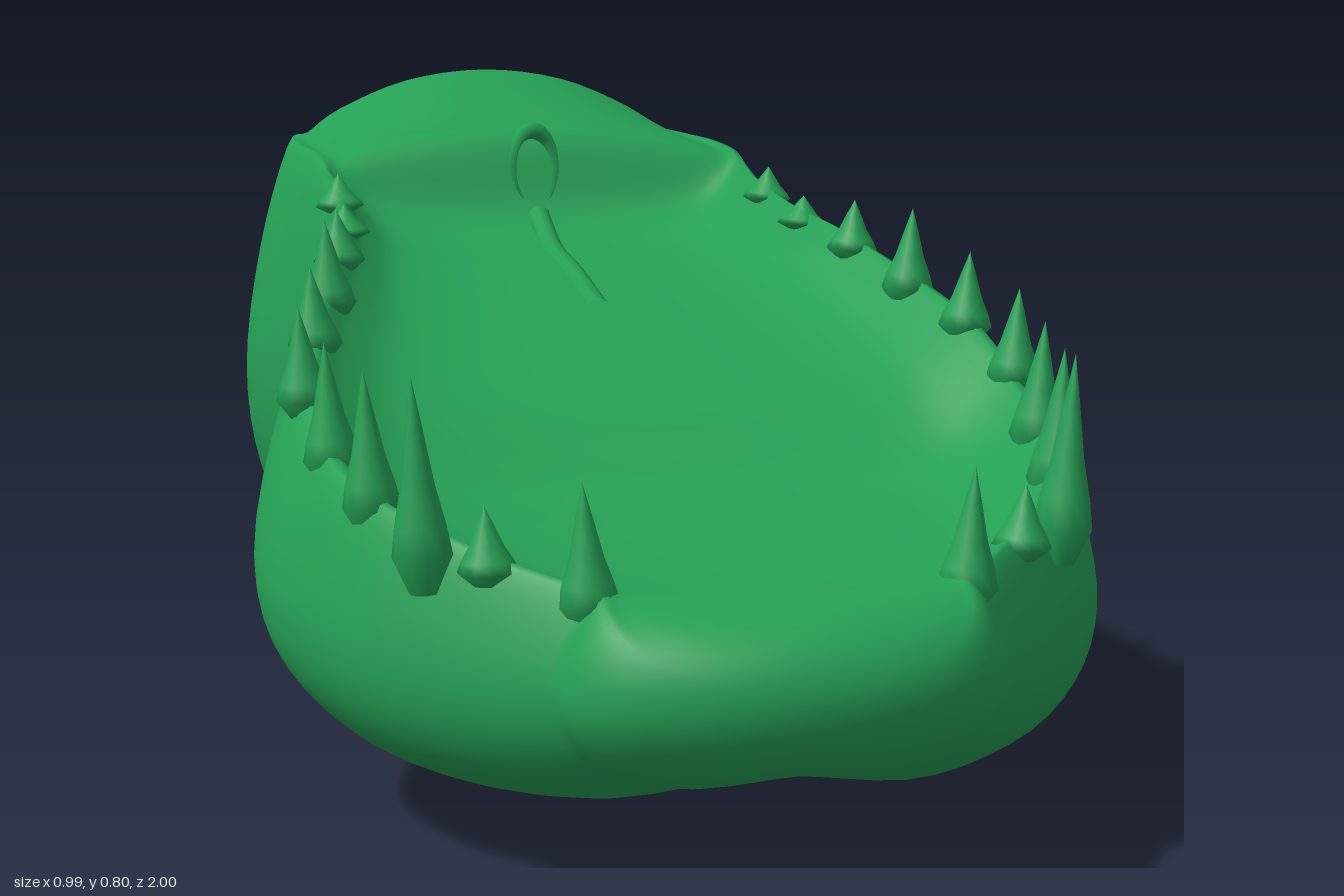
import * as THREE from 'three';

const material = new THREE.MeshStandardMaterial({ color: 0x25a055, roughness: 0.8, side: THREE.DoubleSide });
const mix = THREE.MathUtils.lerp;

// Cross-sections from back to front:
// z, half width, bottom at centre, bottom at sides, rim x, rim y, floor y at centre
const stations = [
  [-0.77, 0.355, 0.00, 0.04, 0.30, 0.69, 0.80],
  [-0.66, 0.38, 0.005, 0.045, 0.315, 0.69, 0.755],
  [-0.55, 0.383, 0.025, 0.06, 0.315, 0.69, 0.73],
  [-0.43, 0.36, 0.055, 0.085, 0.31, 0.685, 0.725],
  [-0.37, 0.352, 0.06, 0.09, 0.305, 0.675, 0.62],
  [-0.28, 0.35, 0.062, 0.09, 0.30, 0.66, 0.58],
  [-0.15, 0.365, 0.07, 0.09, 0.315, 0.635, 0.56],
  [0.00, 0.395, 0.10, 0.11, 0.345, 0.61, 0.53],
  [0.27, 0.473, 0.12, 0.10, 0.41, 0.535, 0.45],
  [0.42, 0.495, 0.105, 0.08, 0.43, 0.46, 0.365],
  [0.55, 0.47, 0.09, 0.07, 0.42, 0.42, 0.345],
  [0.67, 0.42, 0.085, 0.075, 0.375, 0.39, 0.335],
  [0.78, 0.33, 0.11, 0.095, 0.285, 0.355, 0.33],
  [0.87, 0.245, 0.145, 0.13, 0.20, 0.335, 0.33],
];

// Smooth interpolation of the station values, u in 0..1
function stationAt(u) {
  const f = u * (stations.length - 1);
  const i = Math.min(Math.floor(f), stations.length - 2);
  const t = f - i;
  const at = (k) => stations[THREE.MathUtils.clamp(k, 0, stations.length - 1)];
  return stations[0].map((_, n) => {
    const [a, b, c, d] = [i - 1, i, i + 1, i + 2].map((k) => at(k)[n]);
    return b + 0.5 * t * (c - a + t * (2 * a - 5 * b + 4 * c - d + t * (3 * (b - c) + d - a)));
  });
}

// Closed outline of the jaw at one station: belly, flank, rim, then a hollow floor or a domed top
function outline([z, w, yc, yb, xr, yr, yf], cols) {
  const yw = mix(yb, yr, 0.51);
  const dome = THREE.MathUtils.smoothstep(yf - yr, -0.04, 0.06);
  const half = [
    [0, yc], [0.5 * w, yb], [0.8 * w, mix(yb, yw, 0.2)], [0.95 * w, mix(yb, yw, 0.55)], [w, yw],
    [mix(w, xr, 0.35), mix(yw, yr, 0.55)], [xr, yr], [0.9 * xr, mix(yr, yf, mix(0.35, 0.17, dome))],
    [0.74 * xr, mix(yr, yf, mix(0.8, 0.48, dome))], [0.4 * xr, mix(yr, yf, mix(0.97, 0.86, dome))], [0, yf],
  ];
  const mirrored = half.slice(1, -1).reverse().map(([x, y]) => [-x, y]);
  const points = [...half, ...mirrored].map(([x, y]) => new THREE.Vector3(x, y, z));
  const curve = new THREE.CatmullRomCurve3(points, true, 'catmullrom', 0.5);
  return Array.from({ length: cols }, (_, j) => curve.getPoint(j / cols));
}

// Rounded end: the outline turns into an ellipse while shrinking to a pole
function capRings(ring, poleY, poleZ, power, count) {
  const { min, max } = new THREE.Box3().setFromPoints(ring);
  return Array.from({ length: count }, (_, i) => {
    const angle = ((i + 1) / count) * Math.PI / 2;
    const scale = Math.cos(angle) ** power;
    const blend = Math.sin(angle);
    return ring.map((p, j) => {
      const phi = (j / ring.length) * Math.PI * 2;
      const x = mix(p.x, max.x * Math.sin(phi), blend);
      const y = mix(p.y, mix(min.y, max.y, 0.5 - 0.5 * Math.cos(phi)), blend);
      return new THREE.Vector3(x * scale, mix(poleY, y, scale), mix(p.z, poleZ, blend));
    });
  });
}

function jawGeometry(rows = 104, cols = 80) {
  const body = Array.from({ length: rows + 1 }, (_, i) => outline(stationAt(i / rows), cols));
  const rings = [
    ...capRings(body[0], 0.31, -1, 1.15, 24).reverse(),
    ...body,
    ...capRings(body[rows], 0.24, 1, 0.95, 20),
  ];
  const index = [];
  for (let i = 0; i < rings.length - 1; i++) {
    for (let j = 0; j < cols; j++) {
      const a = i * cols + j, b = i * cols + ((j + 1) % cols);
      index.push(a, b, b + cols, a, b + cols, a + cols);
    }
  }
  const geometry = new THREE.BufferGeometry().setFromPoints(rings.flat());
  geometry.setIndex(index);
  geometry.computeVertexNormals();
  return geometry;
}

const lathe = (profile, sides) =>
  new THREE.LatheGeometry(profile.map(([r, y]) => new THREE.Vector2(r, y)), sides);

// Pointed tooth whose base narrows again inside the gum
function toothGeometry(height, radius) {
  const profile = [[0.5, -0.3], [1, -0.08], [0.85, 0.1], [0.55, 0.35], [0.28, 0.68], [0, 1]];
  return lathe(profile.map(([r, y]) => [r * radius, y * height]), 10);
}

// x, z, base y, tip y
const teeth = [
  [0.205, 0.85, 0.33, 0.45], [0.295, 0.77, 0.35, 0.415], [0.358, 0.73, 0.37, 0.55],
  [0.393, 0.615, 0.40, 0.54], [0.418, 0.49, 0.43, 0.555], [0.432, 0.37, 0.48, 0.58],
  [0.405, 0.27, 0.53, 0.615], [0.37, 0.15, 0.565, 0.66], [0.338, 0.015, 0.60, 0.66],
  [0.31, -0.12, 0.62, 0.655], [0.298, -0.25, 0.645, 0.685],
];

export function createModel() {
  const group = new THREE.Group();
  group.name = 'lowerJaw';
  const add = (name, geometry, parent = group) => {
    const mesh = new THREE.Mesh(geometry, material);
    mesh.name = name;
    parent.add(mesh);
    return mesh;
  };

  add('jawBody', jawGeometry());

  // Teeth along both rims, leaning slightly outwards
  for (const side of [1, -1]) {
    const row = new THREE.Group();
    row.name = side > 0 ? 'leftTeeth' : 'rightTeeth';
    for (const [x, z, base, tip] of teeth) {
      const tooth = add('tooth', toothGeometry(tip - base, 0.033), row);
      tooth.position.set(side * x, base, z);
      tooth.rotation.z = -side * 0.06;
    }
    group.add(row);
  }

  // Throat opening: a hollow oval cup facing forward
  const cup = [[0, -0.05], [0.022, -0.04], [0.03, 0], [0.036, 0.02], [0.042, 0], [0.038, -0.06]];
  const throat = add('throatOpening', lathe(cup, 24));
  throat.rotation.x = Math.PI / 2;
  throat.scale.set(0.85, 1, 1.5);
  throat.position.set(0, 0.678, -0.4);

  // Low ridge running along the mouth floor to the throat
  const ridge = new THREE.CatmullRomCurve3(
    stations.slice(4, 8).map((s) => new THREE.Vector3(0, s[6] - 0.008, s[0])));
  add('floorRidge', new THREE.TubeGeometry(ridge, 24, 0.016, 10));

  return group;
}
